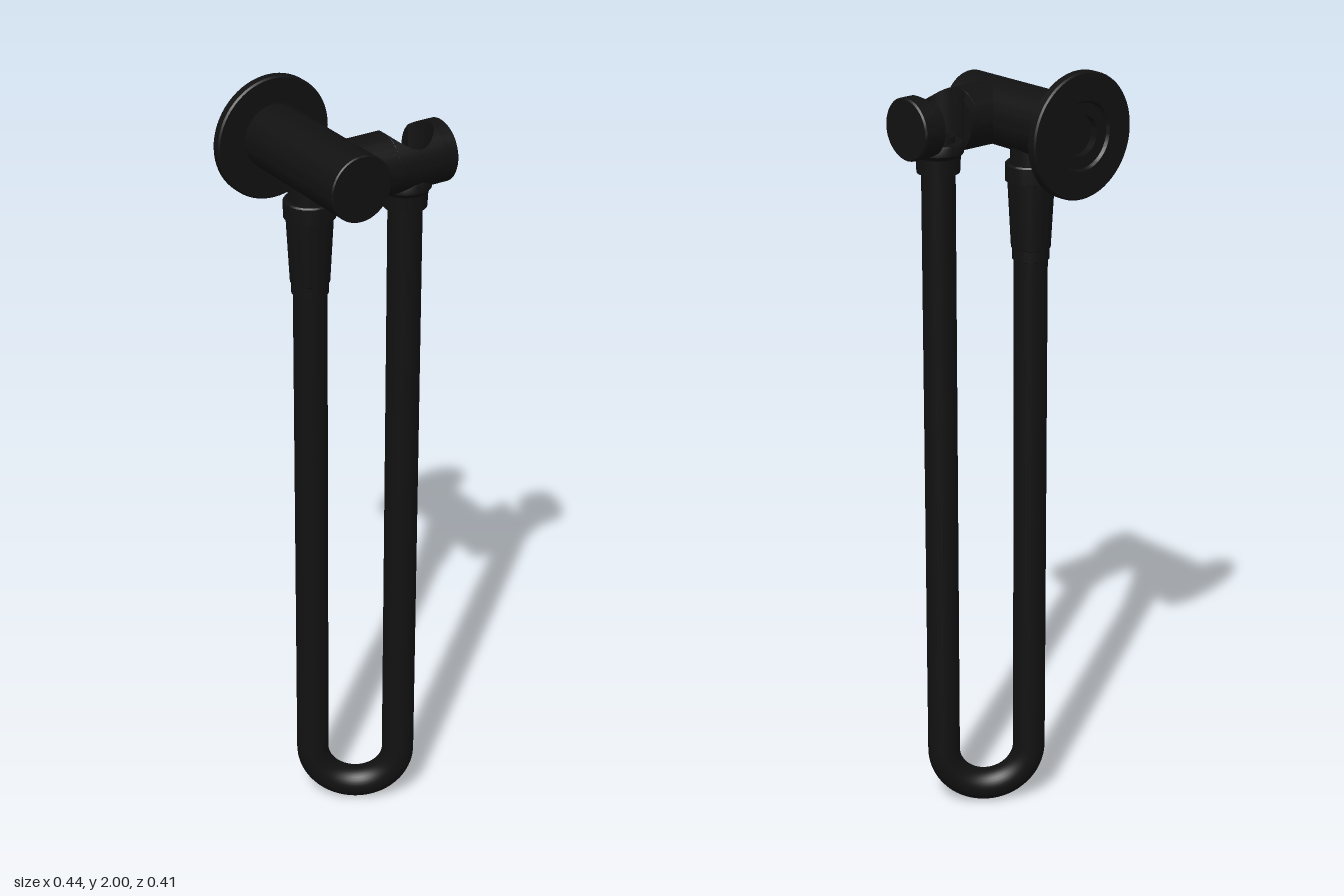
import * as THREE from 'three';
import { toCreasedNormals } from 'three/addons/utils/BufferGeometryUtils.js';

const AXIS_Y = 1.85;                    // height of the valve body and the arm
const INLET = { x: -0.07, z: -0.022 };  // hose end under the valve body
const DOCK = { x: 0.12, z: 0.102 };     // hose end held in the arm
const HOSE_R = 0.042, ARM_R = 0.077, HOLE_R = 0.064, SLOT = 0.04;

// Turned part; the profile is [radius, height] pairs, from bottom to top on the outside
function turned(profile, segments = 48) {
  const points = profile.map(([r, y]) => new THREE.Vector2(r, y));
  return toCreasedNormals(new THREE.LatheGeometry(points, segments), 0.6);
}

// Half of the horizontal arm, cut by the vertical hole; side is +1 for front, -1 for back
function armHalf(xs, side) {
  const n = 25, positions = [], index = [];
  const tri = (a, b, c) => (side > 0 ? index.push(a, b, c) : index.push(a, c, b));
  for (const x of xs) {
    const r = x > 0.217 ? ARM_R - 0.004 : ARM_R;
    const h = Math.sqrt(Math.max(0, HOLE_R ** 2 - (x - DOCK.x) ** 2));
    const span = Math.acos(h / r);
    for (let j = 0; j < n; j++) {
      const a = -span + (2 * span * j) / (n - 1);
      positions.push(x, AXIS_Y + r * Math.sin(a), DOCK.z + side * r * Math.cos(a));
    }
  }
  for (let i = 0; i < xs.length - 1; i++) {
    for (let j = 0; j < n; j++) {
      const p = i * n + j, q = i * n + ((j + 1) % n);
      tri(p, p + n, q);
      tri(q, p + n, q + n);
    }
  }
  const last = (xs.length - 1) * n;
  for (let j = 1; j < n - 1; j++) {
    tri(0, j, j + 1);
    tri(last, last + j + 1, last + j);
  }
  const geometry = new THREE.BufferGeometry();
  geometry.setAttribute('position', new THREE.Float32BufferAttribute(positions, 3));
  geometry.setIndex(index);
  return toCreasedNormals(geometry, 0.6);
}

// Stations across the hole, denser where its wall turns quickly
function holeStations(from, to, steps) {
  const a = Math.acos(from / HOLE_R), b = Math.acos(to / HOLE_R);
  return Array.from({ length: steps + 1 }, (_, i) =>
    DOCK.x + HOLE_R * Math.cos(a + ((b - a) * i) / steps));
}

export function createModel() {
  const model = new THREE.Group();
  const black = new THREE.MeshStandardMaterial({ color: 0x111111, side: THREE.DoubleSide });
  const add = (name, geometry, parent = model) => {
    const mesh = new THREE.Mesh(geometry, black);
    mesh.name = name;
    parent.add(mesh);
    return mesh;
  };

  // Wall flange, hollow behind, with the supply bore in its middle
  const flange = add('wallFlange', turned([
    [0.05, -0.18], [0.05, -0.2], [0.08, -0.2], [0.085, -0.207], [0.151, -0.207],
    [0.155, -0.203], [0.155, -0.184], [0.151, -0.18], [0.05, -0.18],
  ], 64).rotateX(Math.PI / 2));
  flange.position.set(INLET.x, AXIS_Y - 0.005, 0);

  // Valve body running forward from the wall
  const body = add('valveBody', turned([
    [0, -0.18], [0.082, -0.18], [0.082, 0.202], [0.079, 0.205], [0, 0.205],
  ], 64).rotateX(Math.PI / 2));
  body.position.set(INLET.x, AXIS_Y, 0);

  // Side arm with a vertical hole that opens to the back through a slot
  const arm = new THREE.Group();
  arm.name = 'holderArm';
  model.add(arm);
  add('armFront', armHalf([INLET.x, ...holeStations(-HOLE_R, HOLE_R, 32), 0.216, 0.22], 1), arm);
  add('armBackInner', armHalf([INLET.x, ...holeStations(-HOLE_R, -SLOT, 10)], -1), arm);
  add('armBackOuter', armHalf([...holeStations(SLOT, HOLE_R, 10), 0.216, 0.22], -1), arm);

  // Conical hose nut resting in the arm, with an open bore
  const dockNut = add('dockNut', turned([
    [HOSE_R, 1.73], [0.053, 1.73], [0.055, 1.77], [0.063, 1.78], [0.063, 1.8],
    [0.06, 1.805], [0.042, 1.805], [0.04, 1.82], [0.03, 1.82], [0.03, 1.76], [0, 1.76],
  ]));
  dockNut.position.set(DOCK.x, 0, DOCK.z);

  // Stepped nut and tapered sleeve under the valve body
  const sleeve = add('inletSleeve', turned([
    [HOSE_R, 1.5], [0.046, 1.502], [0.046, 1.53], [0.049, 1.532], [0.058, 1.7],
    [0.064, 1.702], [0.064, 1.742], [0.061, 1.746], [0.052, 1.746], [0.052, 1.8], [0, 1.8],
  ]));
  sleeve.position.set(INLET.x, 0, INLET.z);

  // Hose hanging in a U between the two nuts
  const middle = new THREE.Vector3((INLET.x + DOCK.x) / 2, 0, (INLET.z + DOCK.z) / 2);
  const across = new THREE.Vector3(DOCK.x - INLET.x, 0, DOCK.z - INLET.z);
  const bendR = across.length() / 2;
  const bendY = bendR + HOSE_R;
  across.normalize();
  const hose = new THREE.Group();
  hose.name = 'hose';
  hose.position.copy(middle);
  hose.rotation.y = Math.atan2(-across.z, across.x);
  model.add(hose);
  const bend = add('hoseBend', new THREE.TorusGeometry(bendR, HOSE_R, 32, 48, Math.PI), hose);
  bend.rotation.z = Math.PI;
  bend.position.y = bendY;
  for (const [name, side, top] of [['hoseInletLeg', -1, 1.52], ['hoseDockLeg', 1, 1.75]]) {
    const leg = add(name, new THREE.CylinderGeometry(HOSE_R, HOSE_R, top - bendY, 32, 1, true), hose);
    leg.position.set(side * bendR, (top + bendY) / 2, 0);
  }

  return model;
}
